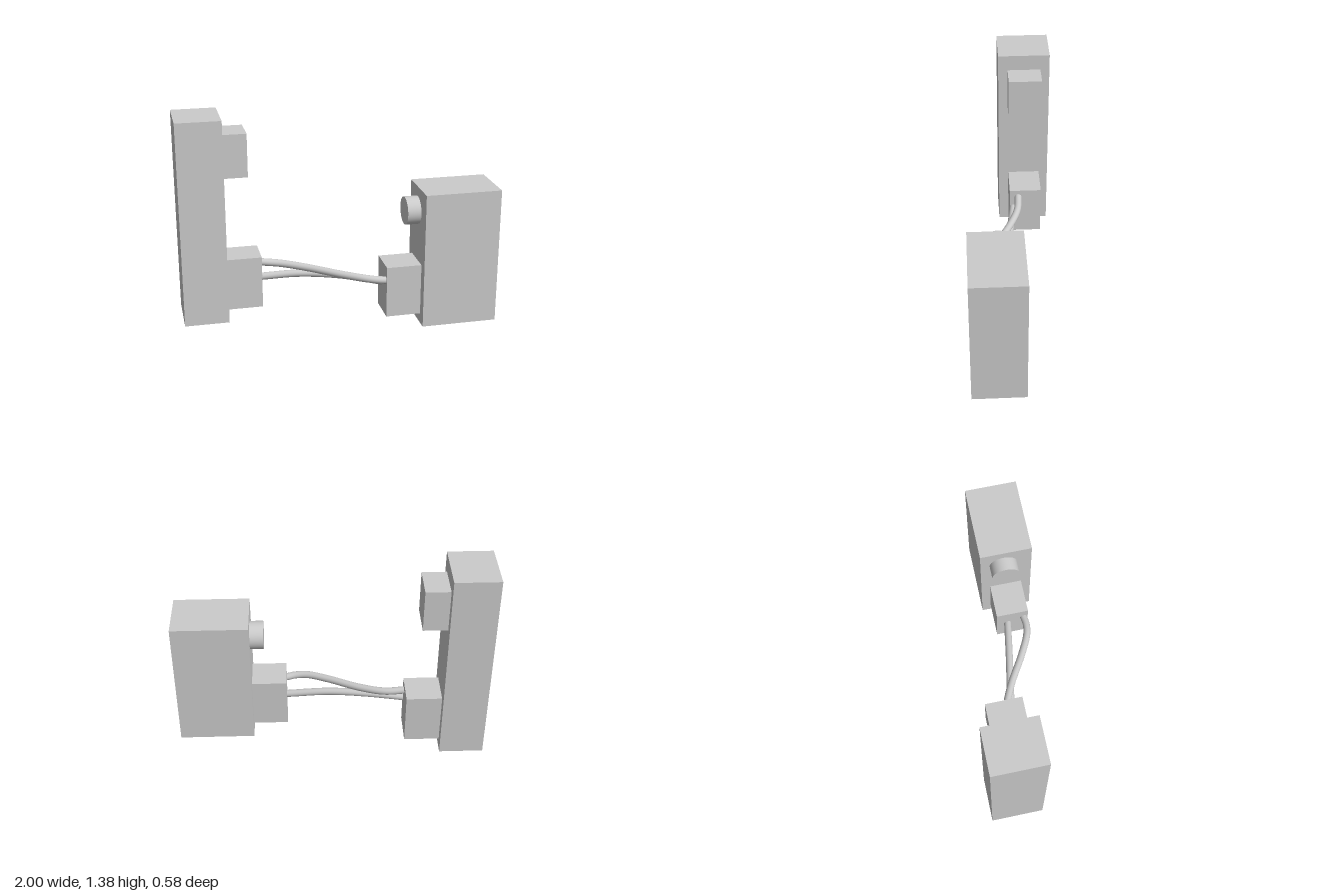
import * as THREE from 'three';

export function createModel() {
  const model = new THREE.Group();
  const material = new THREE.MeshStandardMaterial({ color: 0xcccccc });

  function add(name, geometry) {
    const mesh = new THREE.Mesh(geometry, material);
    mesh.name = name;
    model.add(mesh);
    return mesh;
  }

  // Box given by its lower and upper corners
  function box(name, [x0, y0, z0], [x1, y1, z1]) {
    add(name, new THREE.BoxGeometry(x1 - x0, y1 - y0, z1 - z0))
      .position.set((x0 + x1) / 2, (y0 + y1) / 2, (z0 + z1) / 2);
  }

  // Round cable through a few points
  function cable(name, points) {
    const curve = new THREE.CatmullRomCurve3(points.map(p => new THREE.Vector3(...p)));
    add(name, new THREE.TubeGeometry(curve, 48, 0.024, 20));
  }

  // Tall housing with its two side blocks
  box('tallHousing', [-1, 0.045, -0.29], [-0.715, 1.38, 0.05]);
  box('upperBlock', [-0.715, 0.995, -0.23], [-0.56, 1.275, -0.012]);
  box('tallHousingConnector', [-0.715, 0.105, -0.23], [-0.487, 0.45, -0.015]);

  // Wide housing with its connector and round knob
  box('wideHousing', [0.507, 0, -0.05], [1, 0.895, 0.29]);
  box('wideHousingConnector', [0.28, 0.065, 0.01], [0.507, 0.405, 0.225]);
  const knob = add('knob', new THREE.CylinderGeometry(0.091, 0.091, 0.087, 48));
  knob.rotation.z = Math.PI / 2;
  knob.position.set(0.4635, 0.74, 0.102);

  // Two crossing cables between the connectors
  cable('upperCable', [
    [-0.49, 0.397, -0.073], [-0.36, 0.38, -0.06], [-0.2, 0.363, 0.005],
    [0, 0.345, 0.12], [0.14, 0.332, 0.187], [0.22, 0.32, 0.201], [0.285, 0.309, 0.195],
  ]);
  cable('lowerCable', [
    [-0.49, 0.31, -0.038], [-0.25, 0.322, -0.008], [0, 0.307, 0.037], [0.285, 0.255, 0.085],
  ]);

  return model;
}
